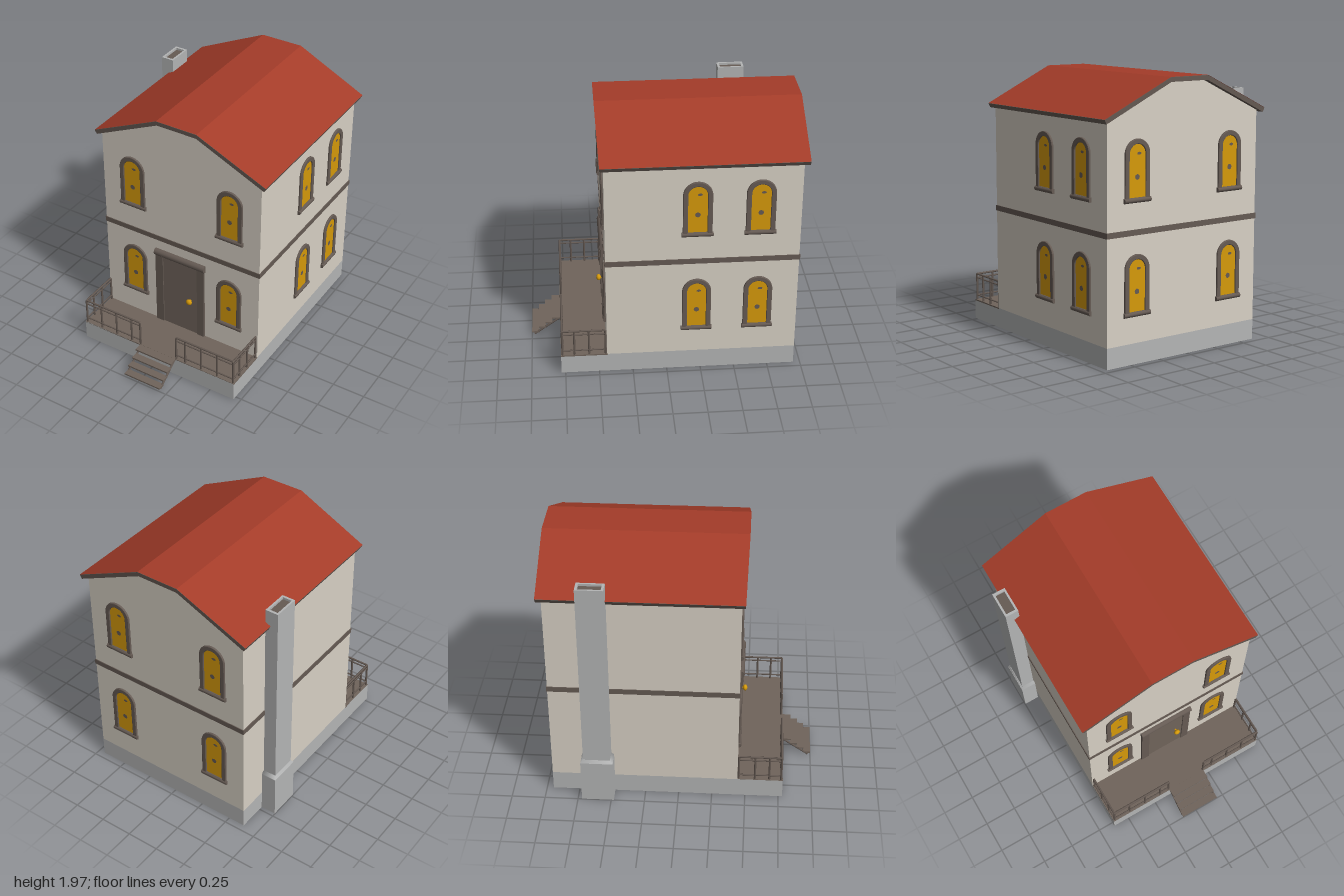
import * as THREE from 'three';

const mat = (name, color, double) => {
  const m = new THREE.MeshStandardMaterial({ color });
  m.name = name;
  if (double) m.side = THREE.DoubleSide;
  return m;
};

export function createModel() {
  const plaster = mat('plaster', 0xd8d1c5, true);
  const stone = mat('stone', 0xb4b5b5, true);
  const tile = mat('roofTile', 0xa43c29, true);
  const trim = mat('trim', 0x665b54);
  const wood = mat('wood', 0x70645b);
  const gold = mat('gold', 0xd69a0a);
  const darkRed = mat('darkRed', 0x640c0e);

  const house = new THREE.Group();
  house.name = 'house';

  const add = (parent, name, geo, material, x = 0, y = 0, z = 0) => {
    const m = new THREE.Mesh(geo, material);
    m.name = name;
    m.position.set(x, y, z);
    parent.add(m);
    return m;
  };
  // box given by its min and max along each axis
  const box = (parent, name, material, x0, x1, y0, y1, z0, z1) =>
    add(parent, name, new THREE.BoxGeometry(x1 - x0, y1 - y0, z1 - z0), material,
      (x0 + x1) / 2, (y0 + y1) / 2, (z0 + z1) / 2);
  // straight bar between two points
  const bar = (parent, name, a, b, r = 0.007) => {
    const curve = new THREE.LineCurve3(new THREE.Vector3(...a), new THREE.Vector3(...b));
    return add(parent, name, new THREE.TubeGeometry(curve, 1, r, 6), trim);
  };
  const group = (name) => {
    const g = new THREE.Group();
    g.name = name;
    house.add(g);
    return g;
  };
  const toShape = (pts) => new THREE.Shape(pts.map(([x, y]) => new THREE.Vector2(x, y)));

  const L = -0.63, R = 0.70, BACK = -0.95, FRONT = 0.44, PORCH = 0.78, FLOOR = 0.15;
  const midX = (L + R) / 2, midZ = (BACK + FRONT) / 2;

  // Walls: two gables and two plain sides, open underneath
  const gable = new THREE.ShapeGeometry(toShape([
    [L, FLOOR], [R, FLOOR], [R, 1.70], [0.20, 1.94], [-0.13, 1.94], [L, 1.70]]));
  const walls = group('walls');
  add(walls, 'frontWall', gable, plaster, 0, 0, FRONT);
  const backGable = gable.clone().rotateY(Math.PI).translate(2 * midX, 0, 0);
  add(walls, 'backWall', backGable, plaster, 0, 0, BACK);
  for (const [name, x, turn] of [['leftWall', R, 1], ['rightWall', L, -1]]) {
    const side = add(walls, name, new THREE.PlaneGeometry(FRONT - BACK, 1.55), plaster, x, FLOOR + 0.775, midZ);
    side.rotation.y = turn * Math.PI / 2;
  }

  // Foundation ring, open underneath
  const base = group('foundation');
  for (const [name, z, turn] of [['foundationFront', PORCH, 0], ['foundationBack', BACK, Math.PI]])
    add(base, name, new THREE.PlaneGeometry(R - L, FLOOR), stone, midX, FLOOR / 2, z).rotation.y = turn;
  for (const [name, x, turn] of [['foundationLeft', R, 1], ['foundationRight', L, -1]])
    add(base, name, new THREE.PlaneGeometry(PORCH - BACK, FLOOR), stone, x, FLOOR / 2, (PORCH + BACK) / 2)
      .rotation.y = turn * Math.PI / 2;

  // Trim band between the floors, visible inside and out
  const band = group('floorBand');
  const e = 0.006;
  box(band, 'bandFront', trim, L - e, R + e, 0.905, 0.945, FRONT - e, FRONT + e);
  box(band, 'bandBack', trim, L - e, R + e, 0.905, 0.945, BACK - e, BACK + e);
  for (const x of [L, R]) box(band, 'bandSide', trim, x - e, x + e, 0.905, 0.945, BACK, FRONT);

  // Roof: slab with a tiled sheet on top; the gable ends lean out at the ridge
  const ridge = [[-0.675, 1.71], [-0.13, 1.966], [0.20, 1.966], [0.745, 1.71]];
  const under = [[0.73, 1.68], [0.195, 1.934], [-0.125, 1.934], [-0.66, 1.68]];
  const roofZ = (y, s) => -0.26 + s * (0.726 + 0.014 * (y - 1.70) / 0.266);
  const slab = new THREE.ExtrudeGeometry(toShape([...ridge, ...under].reverse()), { depth: 1, bevelEnabled: false });
  const p = slab.attributes.position;
  for (let i = 0; i < p.count; i++) p.setZ(i, roofZ(p.getY(i), p.getZ(i) > 0.5 ? 1 : -1));
  slab.computeVertexNormals();
  const roof = group('roof');
  add(roof, 'roofSlab', slab, trim);
  const sheet = new THREE.PlaneGeometry(1, 1, 3, 1).rotateX(-Math.PI / 2);
  const q = sheet.attributes.position;
  for (let i = 0; i < q.count; i++) {
    const [x, y] = ridge[Math.round((q.getX(i) + 0.5) * 3)];
    q.setXYZ(i, x, y + 0.002, roofZ(y, Math.sign(q.getZ(i))));
  }
  const tiles = sheet.toNonIndexed();
  tiles.computeVertexNormals();
  add(roof, 'roofTiles', tiles, tile);

  // Arched windows
  const arch = (Ctor, w, y0, yc) => {
    const s = new Ctor();
    s.moveTo(-w, y0);
    s.lineTo(w, y0);
    s.lineTo(w, yc);
    s.absarc(0, yc, w, 0, Math.PI, false);
    s.lineTo(-w, y0);
    return s;
  };
  const frameShape = arch(THREE.Shape, 0.10, 0.02, 0.33);
  frameShape.holes.push(arch(THREE.Path, 0.074, 0.03, 0.33));
  const frameGeo = new THREE.ExtrudeGeometry(frameShape, {
    depth: 0.008, bevelThickness: 0.006, bevelSize: 0.005, bevelSegments: 2, curveSegments: 14 });
  const paneGeo = new THREE.ShapeGeometry(arch(THREE.Shape, 0.078, 0.02, 0.33), 14);
  const markGeo = new THREE.CircleGeometry(0.02, 8);
  const makeWindow = (x, y, z, turn) => {
    const w = group('window');
    w.position.set(x, y, z);
    w.rotation.y = turn;
    add(w, 'windowFrame', frameGeo, trim);
    add(w, 'windowPane', paneGeo, gold, 0, 0, 0.004);
    add(w, 'paneMark', markGeo, trim, 0, 0.175, 0.006);
    add(w, 'paneMark', markGeo, trim, 0.015, 0.335, 0.006).scale.set(0.9, 0.5, 1);
    const sill = add(w, 'windowSill', new THREE.CylinderGeometry(0.018, 0.018, 0.225, 10), trim, 0, 0.017, 0.004);
    sill.rotation.z = Math.PI / 2;
  };
  for (const y of [0.34, 1.13]) {
    for (const x of [-0.375, 0.45]) {
      makeWindow(x, y, FRONT, 0);
      makeWindow(x, y, BACK, Math.PI);
    }
    for (const z of [-0.215, -0.66]) makeWindow(R, y, z, Math.PI / 2);
  }

  // Door with jambs, rounded lintel and knob
  const door = group('door');
  box(door, 'doorPanel', wood, -0.125, 0.185, FLOOR, 0.77, FRONT, FRONT + 0.008);
  box(door, 'doorInside', darkRed, -0.125, 0.185, FLOOR, 0.77, FRONT - 0.008, FRONT - 0.001);
  box(door, 'doorJamb', trim, -0.185, -0.12, FLOOR, 0.77, FRONT, FRONT + 0.016);
  box(door, 'doorJamb', trim, 0.18, 0.24, FLOOR, 0.77, FRONT, FRONT + 0.016);
  const lintel = add(door, 'lintel', new THREE.CylinderGeometry(0.03, 0.03, 0.435, 12), trim, 0.0275, 0.795, FRONT);
  lintel.rotation.z = Math.PI / 2;
  const stem = add(door, 'knobStem', new THREE.CylinderGeometry(0.008, 0.008, 0.03, 10), gold, 0.122, 0.455, 0.457);
  stem.rotation.x = Math.PI / 2;
  add(door, 'knob', new THREE.SphereGeometry(0.024, 16, 12), gold, 0.122, 0.455, 0.475).scale.z = 0.75;

  // Porch floor and railings
  box(house, 'porchFloor', wood, L, R, FLOOR - 0.008, FLOOR + 0.002, FRONT - 0.005, PORCH);
  const railing = group('railing');
  const rz = PORCH - 0.012;
  const rails = [[0.355, 0.008], [0.325, 0.006], [0.187, 0.006]];
  const run = (a, b, stops) => {
    for (const [y, r] of rails) bar(railing, 'rail', [a[0], y, a[1]], [b[0], y, b[1]], r);
    for (const t of stops) {
      const x = a[0] + (b[0] - a[0]) * t, z = a[1] + (b[1] - a[1]) * t;
      bar(railing, 'baluster', [x, FLOOR, z], [x, 0.355, z], 0.008);
    }
  };
  const stops = [0, 0.28, 0.56, 0.84, 1];
  for (const [outer, inner] of [[L + 0.012, -0.125], [R - 0.012, 0.195]]) {
    run([outer, rz], [inner, rz], stops);
    run([outer, rz], [outer, FRONT + 0.01], [0.28, 0.62, 1]);
  }

  // Front steps on two slanted stringers
  const steps = group('steps');
  for (let i = 0; i < 4; i++) {
    const z = 0.80 + i * 0.052, y = 0.145 - i * 0.04;
    box(steps, 'tread', wood, -0.12, 0.195, y - 0.006, y + 0.006, i ? z - 0.012 : PORCH - 0.01, z + 0.044);
  }
  for (const x of [-0.113, 0.188]) bar(steps, 'stringer', [x, 0.14, 0.79], [x, 0.007, 0.98], 0.008);

  // Chimney with wider foot, sloped shoulder and hollow top
  const chimney = group('chimney');
  const cx = -0.685, cz = -0.60;
  box(chimney, 'chimneyStack', stone, -0.733, -0.633, 0.3, 1.81, cz - 0.10, cz + 0.10);
  box(chimney, 'chimneyFoot', stone, -0.747, -0.625, 0, 0.34, cz - 0.12, cz + 0.12);
  const shoulder = new THREE.CylinderGeometry(Math.SQRT1_2, Math.SQRT1_2 * 1.2, 0.025, 4).rotateY(Math.PI / 4);
  add(chimney, 'chimneyShoulder', shoulder.toNonIndexed(), stone, cx, 0.3525, cz).scale.set(0.102, 1, 0.20);
  const rim = toShape([[-0.05, -0.10], [0.05, -0.10], [0.05, 0.10], [-0.05, 0.10]]);
  rim.holes.push(new THREE.Path([[-0.035, -0.082], [-0.035, 0.082], [0.035, 0.082], [0.035, -0.082]]
    .map(([x, y]) => new THREE.Vector2(x, y))));
  const rimGeo = new THREE.ExtrudeGeometry(rim, { depth: 0.022, bevelEnabled: false }).rotateX(-Math.PI / 2);
  add(chimney, 'chimneyRim', rimGeo, stone, -0.683, 1.81, cz);
  box(chimney, 'chimneyFlue', trim, -0.718, -0.648, 1.808, 1.815, cz - 0.082, cz + 0.082);

  return house;
}
